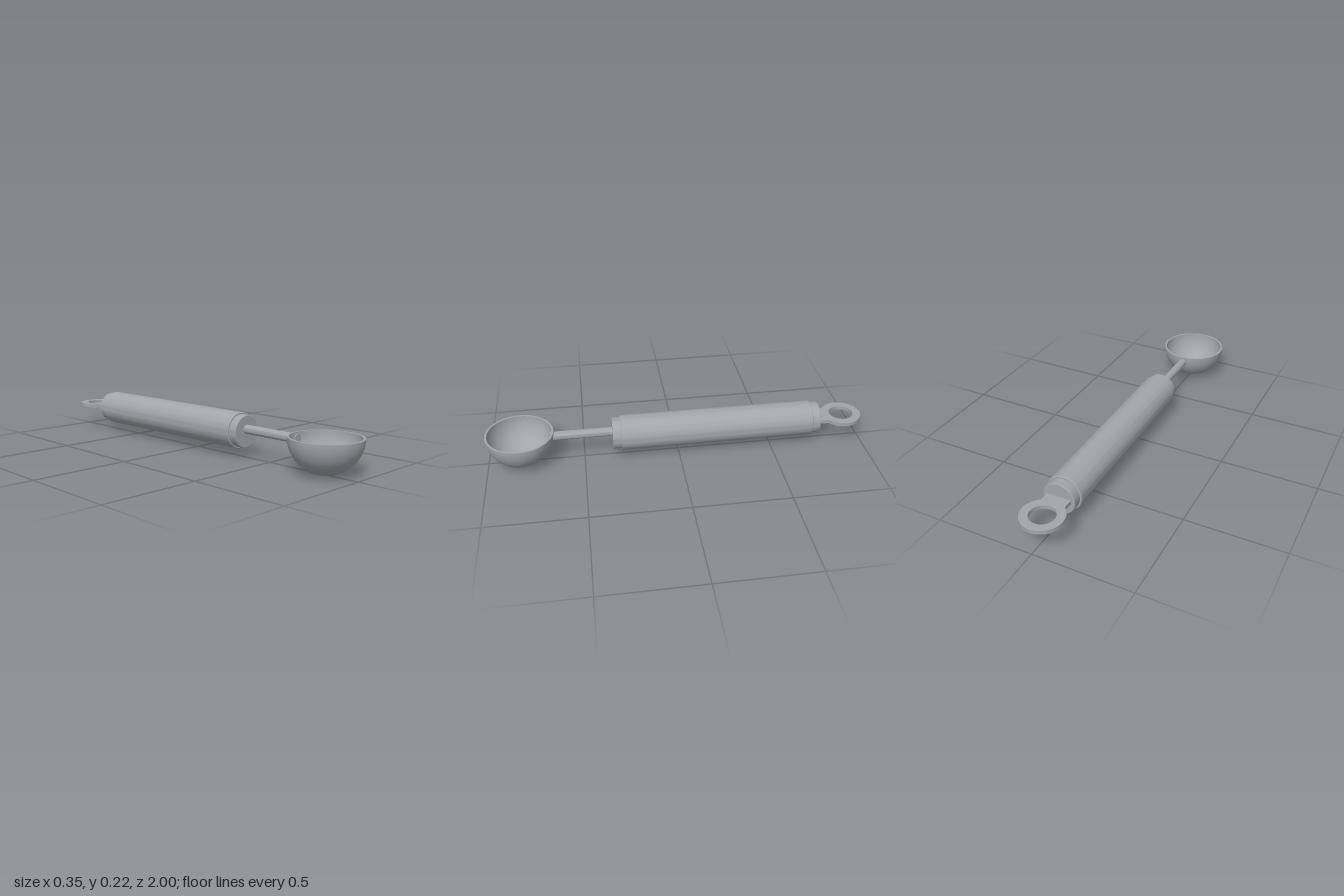
import * as THREE from 'three';
import { toCreasedNormals } from 'three/addons/utils/BufferGeometryUtils.js';

export function createModel() {
  const group = new THREE.Group();
  group.name = 'scoop';
  const steel = new THREE.MeshStandardMaterial({ color: 0xa2a6a9 });
  steel.name = 'steel grey';

  const add = (name, geometry, x, y, z) => {
    const mesh = new THREE.Mesh(toCreasedNormals(geometry, 0.5), steel);
    mesh.name = name;
    mesh.position.set(x, y, z);
    group.add(mesh);
  };
  const lathe = (points, segments) =>
    new THREE.LatheGeometry(points.map(([r, y]) => new THREE.Vector2(r, y)), segments);

  // Hollow hemispherical bowl with a small drain hole at the bottom
  const outer = 0.175, inner = 0.164, hole = 0.019, steps = 24;
  const arc = (radius) => {
    const start = Math.asin(hole / radius);
    return Array.from({ length: steps + 1 }, (_, i) => {
      const a = start + (Math.PI / 2 - start) * i / steps;
      return [radius * Math.sin(a), -radius * Math.cos(a)];
    });
  };
  const outside = arc(outer);
  add('bowl', lathe([...outside, ...arc(inner).reverse(), outside[0]], 64), 0, 0.175, 0.825);

  // Rod joining the bowl and the handle, just piercing the bowl wall
  const rod = new THREE.CylinderGeometry(0.023, 0.023, 0.34, 32).rotateX(Math.PI / 2);
  add('rod', rod, 0, 0.143, 0.498);

  // Round grip with a narrower collar at each end
  const grip = lathe([
    [0, -0.76], [0.08, -0.76], [0.083, -0.757], [0.083, -0.715],
    [0.089, -0.715], [0.092, -0.712], [0.092, 0.303], [0.089, 0.306],
    [0.083, 0.306], [0.083, 0.345], [0.08, 0.348], [0, 0.348],
  ], 64).rotateX(Math.PI / 2);
  add('handle', grip, 0, 0.131, 0);

  // Flat hanging ring with its tab, drawn in x and z
  const ringZ = -0.895, ringR = 0.105, tab = 0.062;
  const join = Math.acos(tab / ringR);
  const shape = new THREE.Shape();
  shape.moveTo(-tab, -0.75);
  shape.lineTo(tab, -0.75);
  shape.absarc(0, ringZ, ringR, join, Math.PI - join, true);
  shape.closePath();
  const eye = new THREE.Path();
  eye.absarc(0, ringZ, 0.063, 0, Math.PI * 2, false);
  shape.holes.push(eye);
  const ring = new THREE.ExtrudeGeometry(shape, { depth: 0.02, bevelEnabled: false, curveSegments: 48 });
  add('hangingRing', ring.rotateX(Math.PI / 2), 0, 0.144, 0);

  return group;
}
